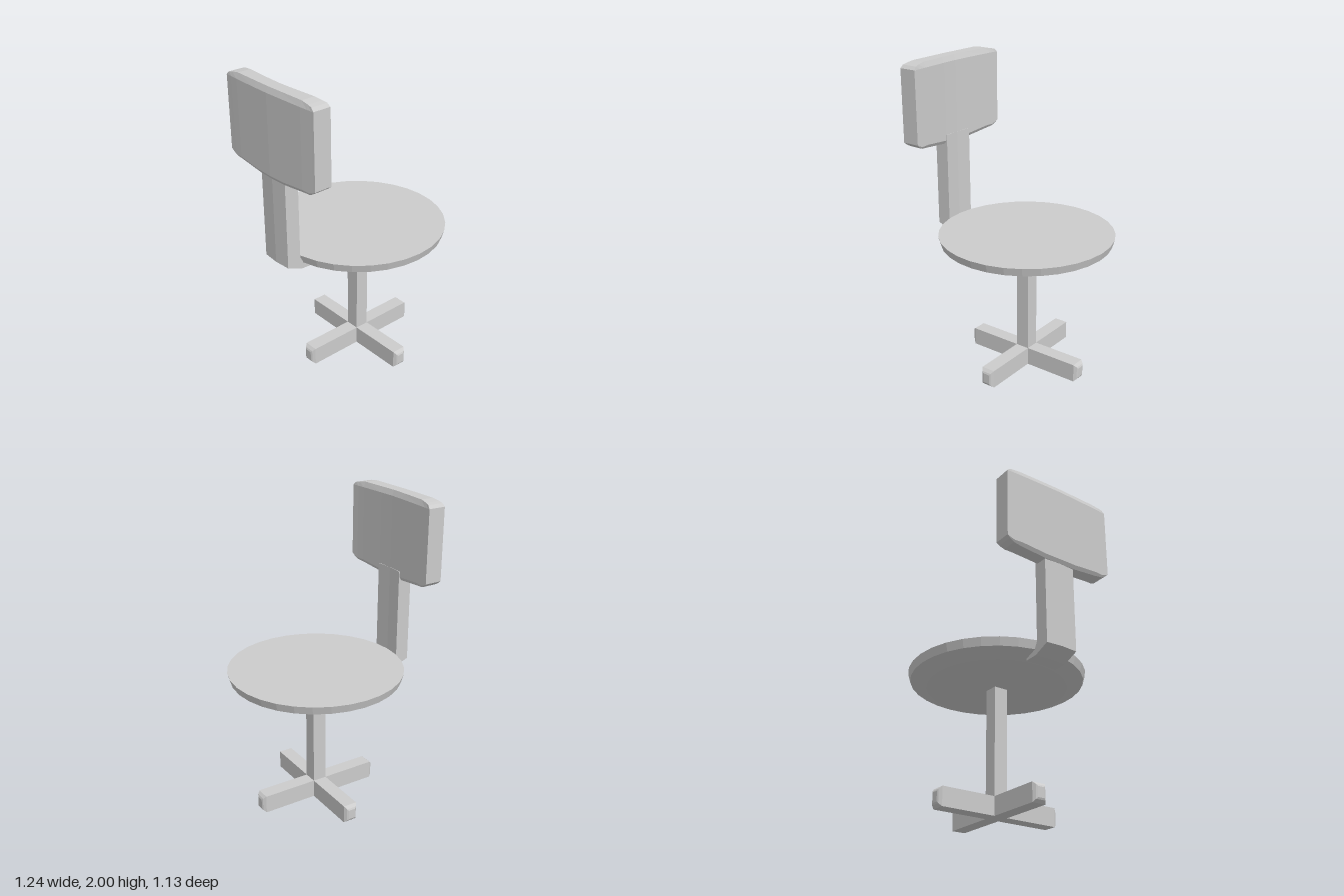
import * as THREE from 'three';

const material = new THREE.MeshStandardMaterial({ color: 0xcccccc, flatShading: true });

// Skin a list of rings (each counter-clockwise seen from +z, advancing along +z) and cap both ends
function loft(rings) {
  const n = rings[0].length;
  const index = [];
  for (let r = 0; r < rings.length - 1; r++) {
    for (let i = 0; i < n; i++) {
      const a = r * n + i, b = r * n + (i + 1) % n;
      index.push(a, b, b + n, a, b + n, a + n);
    }
  }
  const last = (rings.length - 1) * n;
  for (let i = 1; i < n - 1; i++) {
    index.push(0, i + 1, i, last, last + i, last + i + 1);
  }
  const geometry = new THREE.BufferGeometry();
  geometry.setAttribute('position', new THREE.Float32BufferAttribute(rings.flat(2), 3));
  geometry.setIndex(index);
  geometry.computeVertexNormals();
  return geometry;
}

// Repeat stations given for z >= 0 (from the end inward to 0) on the negative side
const mirrored = (half) => [
  ...half.map(([z, ...rest]) => [-z, ...rest]),
  ...half.filter(([z]) => z > 0).reverse(),
];

export function createModel() {
  const group = new THREE.Group();
  const cx = 0.055; // axis of the seat and column
  const add = (geometry, name, parent = group) => {
    const mesh = new THREE.Mesh(geometry, material);
    mesh.name = name;
    parent.add(mesh);
    return mesh;
  };

  // Round seat with a bevelled underside
  const profile = [[0, 0.828], [0.445, 0.836], [0.55, 0.877], [0.565, 0.93], [0, 0.93]];
  const seat = new THREE.LatheGeometry(profile.map(([r, y]) => new THREE.Vector2(r, y)), 32);
  add(seat, 'seat').position.x = cx;

  // Square column
  const column = new THREE.BoxGeometry(0.092, 0.77, 0.092);
  add(column, 'column').position.set(cx, 0.45, 0);

  // Two crossing bars with bevelled tips form the foot
  const foot = new THREE.Group();
  foot.name = 'foot';
  foot.position.set(cx, 0.06, 0);
  group.add(foot);
  const barStations = mirrored([[0.433, 0.023, 0.032], [0.428, 0.033, 0.043], [0.41, 0.046, 0.06]]);
  const bar = loft(barStations.map(([z, w, h]) => [[-w, -h, z], [w, -h, z], [w, h, z], [-w, h, z]]));
  add(bar, 'footBarFrontToBack', foot);
  add(bar, 'footBarSideToSide', foot).rotation.y = Math.PI / 2;

  // Upright strip, bent under the seat and slightly bowed across its width
  const outline = new THREE.Shape([
    [-0.597, 1.5], [-0.597, 0.88], [-0.49, 0.837], [-0.4, 0.834],
    [-0.4, 0.86], [-0.48, 0.88], [-0.504, 0.92], [-0.504, 1.5],
  ].map(([x, y]) => new THREE.Vector2(x, y)));
  const post = new THREE.ExtrudeGeometry(outline, { depth: 0.22, steps: 2, bevelEnabled: false });
  post.translate(0, 0, -0.11);
  const p = post.attributes.position;
  for (let i = 0; i < p.count; i++) {
    if (Math.abs(p.getZ(i)) < 0.01) p.setX(i, p.getX(i) - 0.008);
  }
  post.computeVertexNormals();
  add(post, 'backPost');

  // Bowed backrest: z, back x, front x, bottom y, top y, edge inset
  const stations = mirrored([
    [0.395, -0.606, -0.49, 1.5, 1.966, 0.001],
    [0.375, -0.607, -0.492, 1.483, 1.985, 0.004],
    [0.345, -0.609, -0.495, 1.466, 1.992, 0.008],
    [0.29, -0.612, -0.499, 1.459, 2.0, 0.013],
    [0.11, -0.617, -0.509, 1.441, 2.0, 0.014],
    [0, -0.619, -0.513, 1.44, 2.0, 0.014],
  ]);
  const backrest = loft(stations.map(([z, back, front, bottom, top, inset]) => {
    const low = bottom + inset * 1.6, high = Math.min(top, 1.966) - 0.001;
    return [
      [back + inset, bottom, z], [front - inset, bottom, z], [front, low, z], [front, high, z],
      [front - inset, top, z], [back + inset, top, z], [back, high, z], [back, low, z],
    ];
  }));
  add(backrest, 'backrest');

  return group;
}
